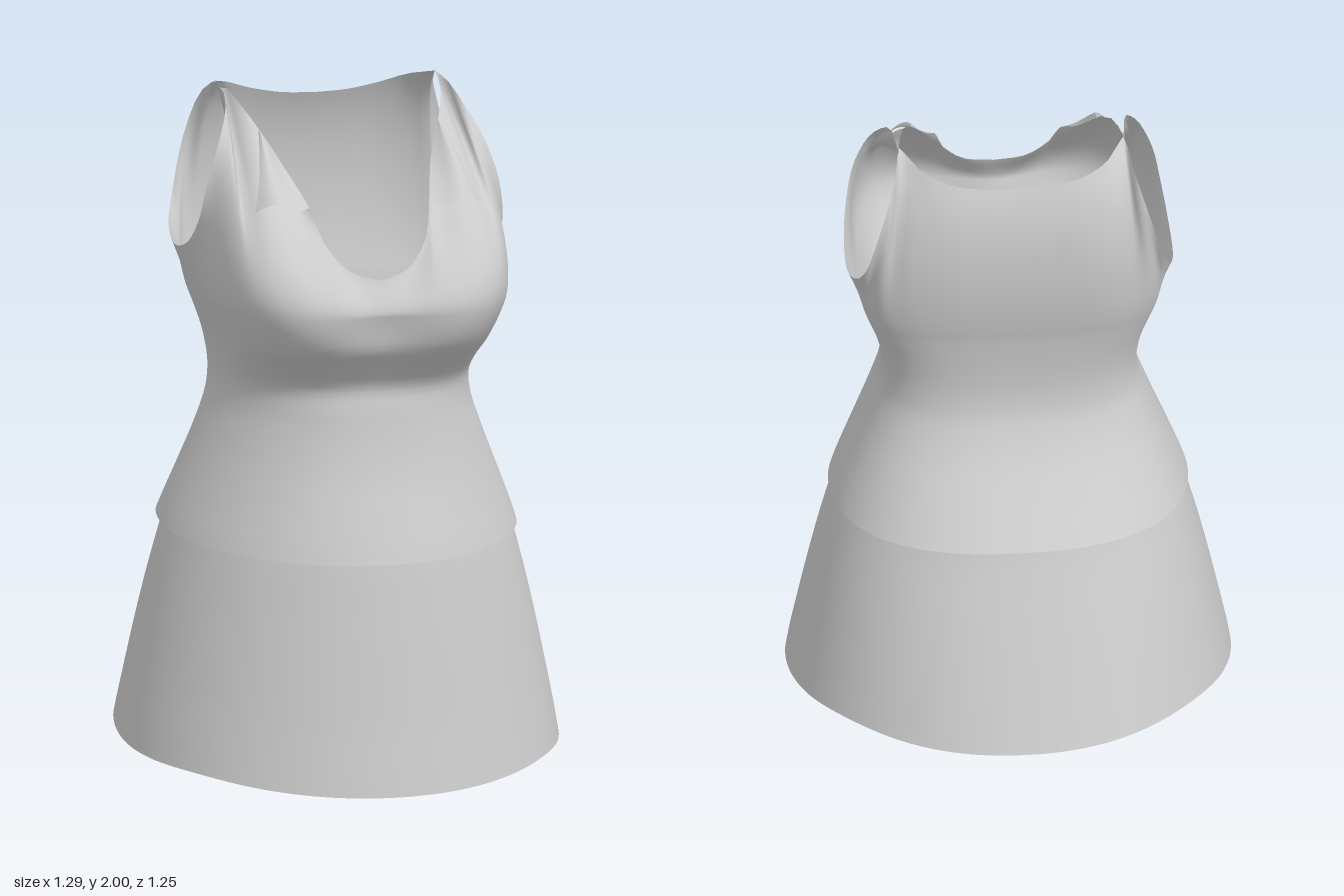
import * as THREE from 'three';

const COLS = 144;

// Cross-section rows: height, half width, front depth, back depth, front and back squareness
const BODICE = [
  [0.64, 0.545, 0.55, 0.53, 1.95, 2.25], [0.73, 0.52, 0.52, 0.485, 1.97, 2.25],
  [0.8, 0.495, 0.495, 0.435, 2, 2.25], [0.9, 0.455, 0.46, 0.36, 2.1, 2.3],
  [1.0, 0.415, 0.435, 0.29, 2.2, 2.4], [1.1, 0.38, 0.42, 0.24, 2.3, 2.6],
  [1.17, 0.37, 0.415, 0.226, 2.5, 2.8], [1.23, 0.375, 0.465, 0.225, 2.9, 2.9],
  [1.3, 0.39, 0.545, 0.23, 3.5, 3.1], [1.4, 0.425, 0.58, 0.243, 3.9, 3.4],
  [1.5, 0.46, 0.565, 0.262, 3.9, 3.6],
];
const SKIRT = [
  [0, 0.665, 0.625, 0.68, 2, 2.1], [0.08, 0.65, 0.612, 0.655, 2, 2.1],
  [0.18, 0.633, 0.595, 0.62, 2, 2.1], [0.5, 0.565, 0.548, 0.502, 2, 2.15],
  [0.73, 0.505, 0.51, 0.415, 2, 2.2], [0.8, 0.482, 0.482, 0.393, 2, 2.2],
  [0.95, 0.42, 0.432, 0.31, 2.1, 2.3],
];
// Top edge of the bodice: angle from centre front, x, y, z
const EDGE = [
  // front neckline up to the shoulder
  [0, 0, 1.5, 0.5], [8, 0.09, 1.53, 0.475], [15, 0.155, 1.61, 0.43], [20, 0.18, 1.7, 0.37],
  [26, 0.22, 1.8, 0.24], [33, 0.27, 1.9, 0.14], [37, 0.3, 1.955, 0.06], [39.5, 0.315, 1.985, 0],
  [41, 0.322, 2, -0.1],
  // armhole down and up again
  [43, 0.332, 2, -0.1], [45, 0.338, 1.985, 0.01], [49, 0.356, 1.94, 0.09], [55, 0.395, 1.86, 0.155],
  [63, 0.435, 1.75, 0.18], [71, 0.455, 1.65, 0.17], [80, 0.47, 1.57, 0.1], [90, 0.475, 1.54, -0.03],
  [103, 0.46, 1.58, -0.15], [116, 0.43, 1.66, -0.22], [124, 0.395, 1.8, -0.245],
  [130, 0.36, 1.92, -0.225], [134, 0.338, 1.98, -0.17], [136, 0.332, 2, -0.1],
  // back neckline
  [138, 0.322, 2, -0.1], [143, 0.27, 1.98, -0.185], [150, 0.2, 1.955, -0.22],
  [165, 0.1, 1.935, -0.23], [180, 0, 1.93, -0.23],
];
// Skirt hem height from back to front
const HEM = [[-1, 0.18], [-0.65, 0.18], [-0.32, 0.145], [0, 0.105], [0.32, 0.075], [0.64, 0.05], [1, 0]];

// Smooth interpolation of column k in a table keyed by its first column
function sample(table, key, k) {
  const last = table.length - 1;
  let i = 0;
  while (i < last - 1 && key > table[i + 1][0]) i++;
  const slope = (j) => {
    const p = table[Math.max(j - 1, 0)], q = table[Math.min(j + 1, last)];
    return (q[k] - p[k]) / (q[0] - p[0]);
  };
  const p = table[i], q = table[i + 1], h = q[0] - p[0];
  const t = THREE.MathUtils.clamp((key - p[0]) / h, 0, 1), t2 = t * t, t3 = t2 * t;
  return (2 * t3 - 3 * t2 + 1) * p[k] + (t3 - 2 * t2 + t) * h * slope(i)
    + (3 * t2 - 2 * t3) * q[k] + (t3 - t2) * h * slope(i + 1);
}

// Point on a squarish oval section; angle 0 is centre front
function section(table, angle, y) {
  const s = Math.sin(angle), c = Math.cos(angle);
  const [a, depth, n] = [1, c > 0 ? 2 : 3, c > 0 ? 4 : 5].map((k) => sample(table, y, k));
  const r = (Math.abs(s) ** n + Math.abs(c) ** n) ** (-1 / n);
  return new THREE.Vector3(a * s * r, y, depth * c * r);
}

// Surface from a grid of points, optionally closed around the columns
function gridSurface(cols, rows, closed, pointAt) {
  const pos = [], index = [];
  for (let i = 0; i < cols; i++) {
    for (let j = 0; j < rows; j++) pos.push(...pointAt(i, j).toArray());
  }
  for (let i = 0; i < (closed ? cols : cols - 1); i++) {
    for (let j = 0; j < rows - 1; j++) {
      const a = i * rows + j, b = ((i + 1) % cols) * rows + j;
      index.push(a, b, b + 1, a, b + 1, a + 1);
    }
  }
  const g = new THREE.BufferGeometry();
  g.setAttribute('position', new THREE.Float32BufferAttribute(pos, 3));
  g.setIndex(index);
  g.computeVertexNormals();
  return g;
}

// Both halves share one rule: angles past the back are mirrored in x
function mirrored(i, rule) {
  const angle = (i / COLS) * Math.PI * 2, flip = angle > Math.PI;
  const p = rule(flip ? Math.PI * 2 - angle : angle);
  if (flip) p.x *= -1;
  return p;
}

const edgePoint = (deg) => new THREE.Vector3(...[1, 2, 3].map((k) => sample(EDGE, deg, k)));

const BUST = 1.4;
function bodyPoint(angle, y) {
  const p = section(BODICE, angle, y);
  // soft hollow between the bust
  if (p.z > 0) p.z -= 0.045 * Math.exp(-((p.x / 0.14) ** 2) - ((y - 1.37) / 0.11) ** 2);
  return p;
}

// Column running from the bust line up to the neck or armhole edge
function upperPoint(angle, t) {
  const deg = THREE.MathUtils.radToDeg(angle);
  const start = bodyPoint(angle, BUST), end = edgePoint(deg);
  const length = start.distanceTo(end);
  const rise = bodyPoint(angle, BUST).sub(bodyPoint(angle, BUST - 0.02)).multiplyScalar(50);
  const c1 = start.clone().addScaledVector(rise, length * 0.22);
  const c2 = end.clone().lerp(start, 0.33);
  const high = THREE.MathUtils.smoothstep(end.y, 1.7, 2);
  if (deg < 90) {
    c2.y += 0.07 * high;
  } else {
    const shoulder = THREE.MathUtils.smoothstep(end.z, -0.22, -0.1);
    c1.z -= 0.012 * high;
    c2.z -= high * (0.085 + 0.06 * shoulder);
    c2.y += 0.12 * high * shoulder;
  }
  return new THREE.CubicBezierCurve3(start, c1, c2, end).getPoint(t);
}

function bodiceGeometry() {
  const low = 36, high = 24;
  return gridSurface(COLS, low + high + 1, true, (i, j) => mirrored(i, (angle) => {
    if (j > low) return upperPoint(angle, (j - low) / high);
    const hem = 0.725 - 0.056 * Math.cos(angle);
    return bodyPoint(angle, THREE.MathUtils.lerp(hem, BUST, j / low));
  }));
}

function skirtGeometry() {
  const rows = 24;
  return gridSurface(COLS, rows + 1, true, (i, j) => mirrored(i, (angle) => {
    const c = Math.cos(angle), hem = sample(HEM, c, 1), top = 0.88 - 0.04 * c;
    return section(SKIRT, angle, THREE.MathUtils.lerp(hem, top, j / rows));
  }));
}

// Pointed lapel folded outward from the neckline
function lapelGeometry(side) {
  const n = 14, top = edgePoint(33), tip = new THREE.Vector3(0.34, 1.69, 0.36);
  return gridSurface(n + 1, n + 1, false, (i, j) => {
    const t = (side > 0 ? i : n - i) / n, s = 1 - j / n;
    const fold = edgePoint(33 - 13 * s);
    const p = fold.lerp(top.clone().lerp(tip, s), t);
    const bulge = Math.sin(Math.PI * t) * Math.sqrt(s);
    // lift the flap clear of the chest, with a wavy lower edge
    p.z += 0.03 * bulge + 0.03 * t * Math.sin(Math.PI * s);
    p.y += 0.014 * bulge - 0.012 * s * Math.sin(2 * Math.PI * t);
    p.x *= side;
    return p;
  });
}

export function createModel() {
  const fabric = new THREE.MeshStandardMaterial({ color: 0xcccccc, side: THREE.DoubleSide });
  fabric.name = 'light grey fabric';
  const group = new THREE.Group();
  group.name = 'dress';
  const add = (name, geometry) => {
    const mesh = new THREE.Mesh(geometry, fabric);
    mesh.name = name;
    group.add(mesh);
  };
  add('bodice', bodiceGeometry());
  add('skirt', skirtGeometry());
  add('leftLapel', lapelGeometry(1));
  add('rightLapel', lapelGeometry(-1));
  return group;
}
